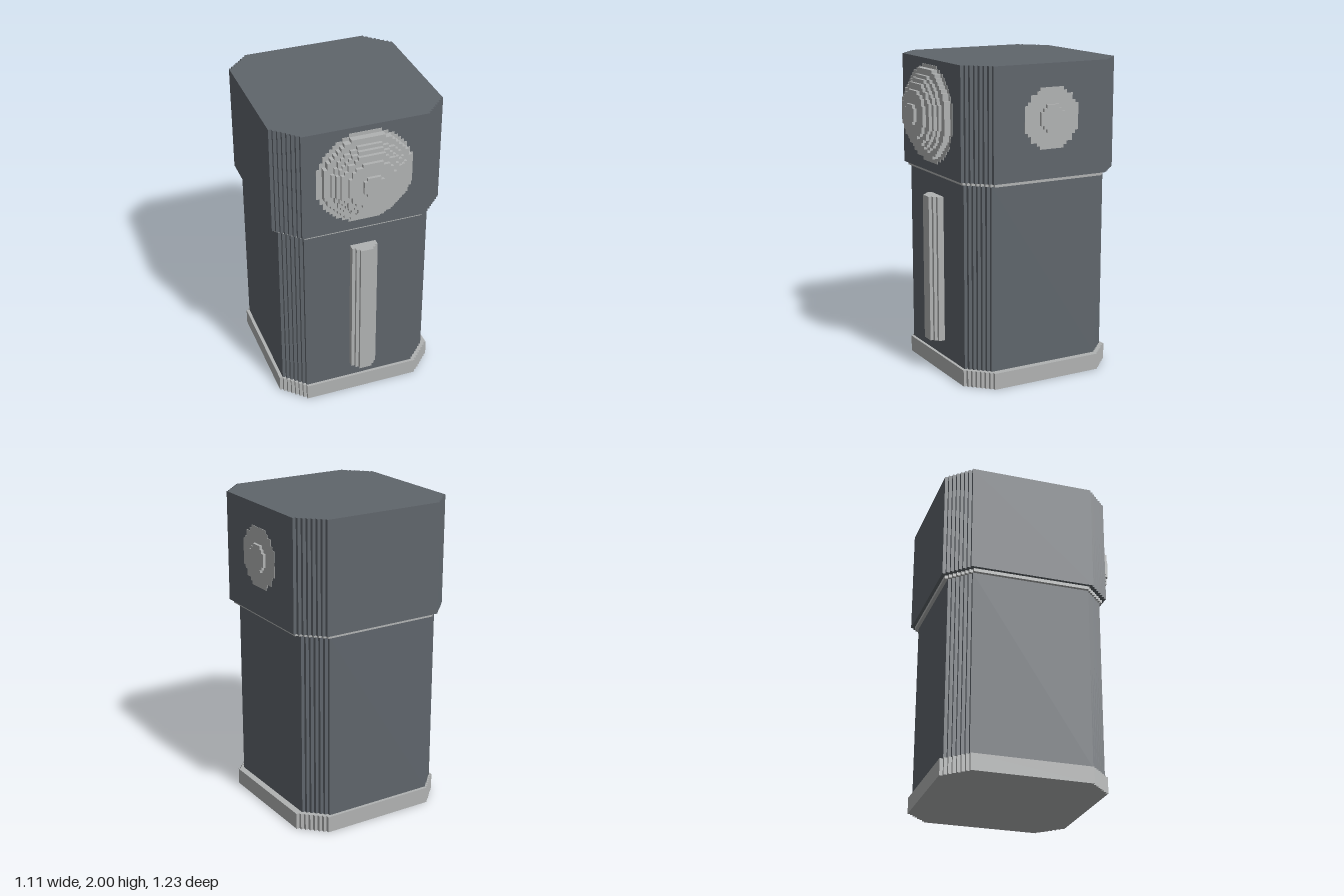
import * as THREE from 'three';

const CELL = 0.0205;

export function createModel() {
  const group = new THREE.Group();
  const slate = new THREE.MeshStandardMaterial({ name: 'slate grey', color: 0x5f656b });
  const silver = new THREE.MeshStandardMaterial({ name: 'silver grey', color: 0xb0b2b2 });

  const add = (name, geometry, material) => {
    const mesh = new THREE.Mesh(geometry, material);
    mesh.name = name;
    group.add(mesh);
    return mesh;
  };
  const extrude = (shape, depth) => new THREE.ExtrudeGeometry(shape, { depth, bevelEnabled: false });

  // Upright block whose four corners are cut by small stairs
  function steppedBlock(name, x0, x1, z0, z1, y0, y1, steps, material) {
    const cx = (x0 + x1) / 2, cz = (z0 + z1) / 2;
    const hx = (x1 - x0) / 2, hz = (z1 - z0) / 2;
    const points = [];
    for (const [sx, sz] of [[1, 1], [-1, 1], [-1, -1], [1, -1]]) {
      const corner = [];
      for (let i = 0; i <= steps; i++) {
        const x = hx - i * CELL, z = hz - (steps - i) * CELL;
        corner.push([x, z]);
        if (i < steps) corner.push([x - CELL, z]);
      }
      if (sx * sz < 0) corner.reverse();
      for (const [x, z] of corner) points.push(new THREE.Vector2(cx + sx * x, cz + sz * z));
    }
    const geometry = extrude(new THREE.Shape(points), y1 - y0);
    geometry.rotateX(Math.PI / 2).translate(0, y1, 0);
    return add(name, geometry, material);
  }

  // Outline of a disc built from square cells, or its upper half
  function steppedDisc(cells, radius, half = false) {
    const c = (2 * radius) / cells;
    const right = [];
    for (let row = half ? cells / 2 : 0; row < cells; row++) {
      const y = row + 0.5 - cells / 2;
      const w = Math.min(cells / 2, Math.round(Math.sqrt((cells / 2 + 0.3) ** 2 - y * y))) * c;
      right.push([w, (y - 0.5) * c], [w, (y + 0.5) * c]);
    }
    const left = right.map(([x, y]) => [-x, y]).reverse();
    const points = [...right, ...left].map(([x, y]) => new THREE.Vector2(x, y));
    return new THREE.Shape(points.filter((p, i) => i === 0 || !p.equals(points[i - 1])));
  }

  // Main stack
  steppedBlock('base', -0.533, 0.512, -0.592, 0.449, 0, 0.104, 7, silver);
  steppedBlock('body', -0.512, 0.470, -0.571, 0.430, 0.104, 1.278, 6, slate);
  steppedBlock('neckTrim', -0.533, 0.512, -0.592, 0.449, 1.278, 1.299, 7, silver);
  steppedBlock('head', -0.554, 0.532, -0.613, 0.469, 1.299, 2, 7, slate);

  // Front dome: a flush ring, then shrinking stepped layers [cells, radius, back, front]
  const layers = [
    [30, 0.303, 0.466, 0.472],
    [26, 0.273, 0.469, 0.512],
    [24, 0.235, 0.512, 0.532],
    [22, 0.213, 0.532, 0.553],
    [18, 0.188, 0.553, 0.573],
    [14, 0.147, 0.573, 0.594],
    [6, 0.062, 0.594, 0.614],
  ];
  layers.forEach(([cells, radius, back, front], i) => {
    const geometry = extrude(steppedDisc(cells, radius), front - back);
    geometry.translate(i === 0 ? -0.018 : -0.0125, i === 0 ? 1.662 : 1.67, back);
    add(i === 0 ? 'domeRim' : 'domeLayer' + i, geometry, silver);
  });

  // Round plate and raised button on the left side of the head
  for (const [name, cells, radius, from, to] of [
    ['sidePlate', 18, 0.187, 0.528, 0.535],
    ['sideButton', 8, 0.084, 0.530, 0.553],
  ]) {
    const geometry = extrude(steppedDisc(cells, radius), to - from);
    geometry.rotateY(Math.PI / 2).translate(from, 1.67, -0.0715);
    add(name, geometry, silver);
  }

  // Half-round handle bar on the front of the body
  const bar = extrude(steppedDisc(8, 0.083, true), 0.94);
  bar.rotateX(Math.PI / 2).translate(-0.0095, 1.15, 0.429);
  add('frontHandle', bar, silver);

  return group;
}
